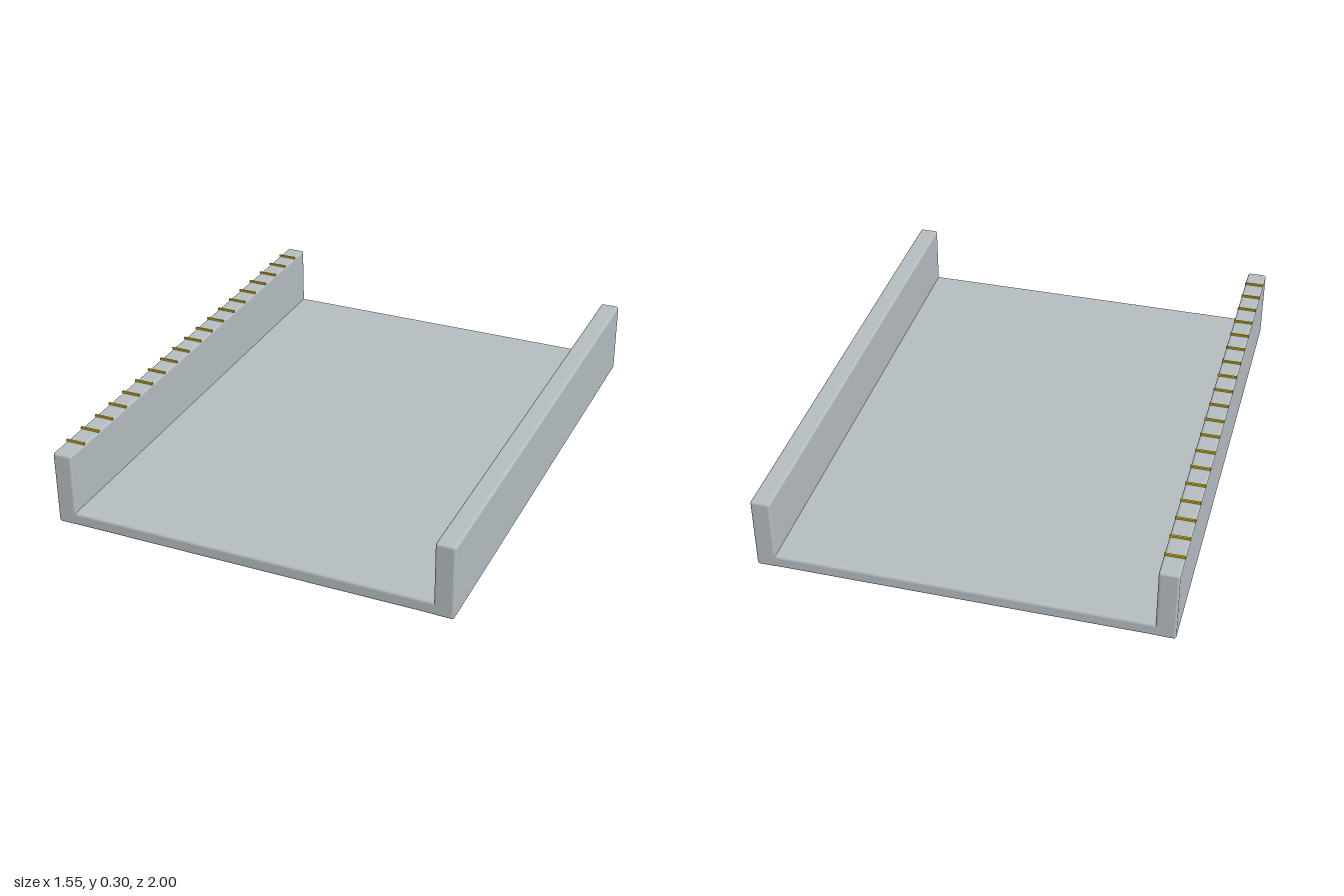
import * as THREE from 'three';
import { RoundedBoxGeometry } from 'three/addons/geometries/RoundedBoxGeometry.js';

export function createModel() {
  const model = new THREE.Group();
  model.name = 'measuringTray';

  const grey = new THREE.MeshStandardMaterial({ color: 0xb4bcc0 });
  grey.name = 'satin grey';
  const yellow = new THREE.MeshStandardMaterial({ color: 0xd0b010 });
  yellow.name = 'mark yellow';

  const halfWidth = 0.777, wall = 0.075, length = 1.995;
  const bottom = 0.006, floorTop = 0.06, wallTop = 0.299;

  function add(name, geometry, material, x, y, z) {
    const mesh = new THREE.Mesh(geometry, material);
    mesh.name = name;
    mesh.position.set(x, y, z);
    model.add(mesh);
  }

  // Floor plate with softened edges
  add('floor', new RoundedBoxGeometry(halfWidth * 2, floorTop - bottom, length, 4, 0.012),
    grey, 0, (floorTop + bottom) / 2, 0);

  // Two side walls, mirrored
  const wallGeometry = new RoundedBoxGeometry(wall, wallTop - bottom, length, 4, 0.01);
  for (const [name, side] of [['leftWall', 1], ['rightWall', -1]]) {
    add(name, wallGeometry, grey, side * (halfWidth - wall / 2), (wallTop + bottom) / 2, 0);
  }

  // Graduation marks along the top of the right wall
  const markGeometry = new THREE.BoxGeometry(wall, 0.008, 0.008);
  for (let i = -9; i <= 9; i++) {
    add('graduationMark', markGeometry, yellow, -(halfWidth - wall / 2), wallTop + 0.003, i * 0.1);
  }

  return model;
}
